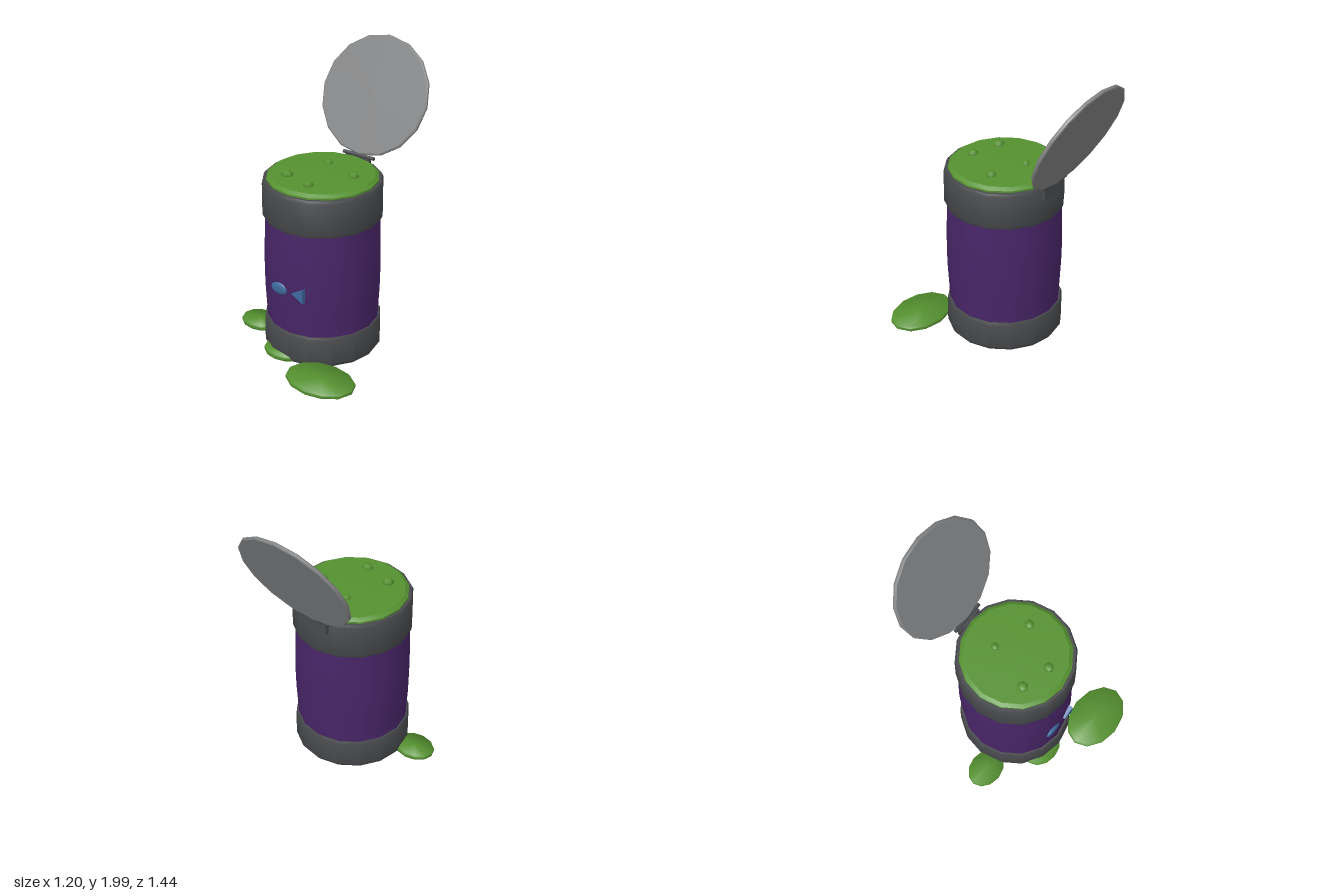
import * as THREE from 'three';
import { toCreasedNormals } from 'three/addons/utils/BufferGeometryUtils.js';

const mat = (color) => new THREE.MeshStandardMaterial({ color });
const darkGrey = mat(0x47494c), lidGrey = mat(0x808182), purple = mat(0x482568);
const green = mat(0x559130), blue = mat(0x3d6a9c);

function add(parent, name, geometry, material, x = 0, y = 0, z = 0) {
  const mesh = new THREE.Mesh(geometry, material);
  mesh.name = name;
  mesh.position.set(x, y, z);
  parent.add(mesh);
  return mesh;
}

// Turned shape from [radius, height] pairs, listed from the bottom up
function turned(profile, sides = 16) {
  const points = profile.map(([r, y]) => new THREE.Vector2(r, y));
  return toCreasedNormals(new THREE.LatheGeometry(points, sides), 0.6);
}

export function createModel() {
  const model = new THREE.Group();
  model.name = 'slimeBarrel';

  // Barrel with everything that stays attached to it
  const barrel = new THREE.Group();
  barrel.name = 'barrel';
  barrel.position.set(0.0125, 0, 0.055);
  model.add(barrel);

  add(barrel, 'baseRing', turned([
    [0, 0], [0.383, 0], [0.4, 0.025], [0.4, 0.2], [0.392, 0.22], [0, 0.22],
  ]), darkGrey);
  add(barrel, 'body', turned([
    [0.38, 0.2], [0.385, 0.3], [0.393, 0.45], [0.396, 0.59],
    [0.394, 0.75], [0.389, 0.88], [0.385, 0.98],
  ]), purple);
  add(barrel, 'topRing', turned([
    [0, 0.96], [0.395, 0.96], [0.404, 0.98], [0.404, 1.2], [0.394, 1.22], [0, 1.22],
  ]), darkGrey);
  add(barrel, 'slimeSurface', turned([
    [0.375, 1.215], [0.375, 1.232], [0.35, 1.25], [0, 1.26],
  ]), green);

  // Slime bubbles: x, z, radius
  const bubbles = [
    [-0.04, -0.08, 0.03], [0.22, 0, 0.035], [-0.145, 0.23, 0.04], [0.063, 0.282, 0.036],
  ];
  for (const [x, z, r] of bubbles) {
    const bubble = add(model, 'bubble', new THREE.SphereGeometry(r, 6, 5), green, x, 1.256, z);
    bubble.rotation.y = Math.PI / 6;
    bubble.scale.y = 0.85;
  }

  // Hinge plate and pin on the back of the top ring
  add(model, 'hingePlate', new THREE.BoxGeometry(0.2, 0.085, 0.024), darkGrey, 0.0125, 1.183, -0.344);
  const pin = add(model, 'hingePin', new THREE.CylinderGeometry(0.013, 0.013, 0.25, 8), darkGrey, 0.0125, 1.235, -0.355);
  pin.rotation.z = Math.PI / 2;

  // Open lid, leaning backwards
  const lid = add(model, 'lid', turned([
    [0, -0.014], [0.41, -0.014], [0.417, -0.008], [0.417, 0.006], [0.407, 0.014], [0, 0.014],
  ]), lidGrey, 0.0125, 1.612, -0.536);
  lid.rotation.x = Math.PI / 2 - 0.437;

  // Fish emblem on the front: oval body and triangular tail
  const fish = new THREE.Group();
  fish.name = 'fishEmblem';
  model.add(fish);
  const oval = add(fish, 'fishBody', new THREE.SphereGeometry(1, 12, 8), blue, -0.058, 0.535, 0.442);
  oval.scale.set(0.07, 0.042, 0.016);
  const tail = new THREE.Shape([
    new THREE.Vector2(0.05, 0.535), new THREE.Vector2(0.14, 0.487), new THREE.Vector2(0.14, 0.583),
  ]);
  add(fish, 'fishTail', new THREE.ExtrudeGeometry(tail, { depth: 0.03, bevelEnabled: false }), blue, 0, 0, 0.427);

  // Slime puddles on the ground: x, z, half width, half depth
  const puddles = [
    [-0.455, 0.155, 0.148, 0.115], [-0.075, 0.37, 0.155, 0.12], [0.348, 0.542, 0.252, 0.178],
  ];
  const puddleShape = turned([
    [0, 0.005], [0.95, 0.005], [1, 0.015], [1, 0.032], [0.95, 0.044], [0, 0.044],
  ], 12);
  for (const [x, z, w, d] of puddles) {
    add(model, 'puddle', puddleShape, green, x, 0, z).scale.set(w, 1, d);
  }

  return model;
}
